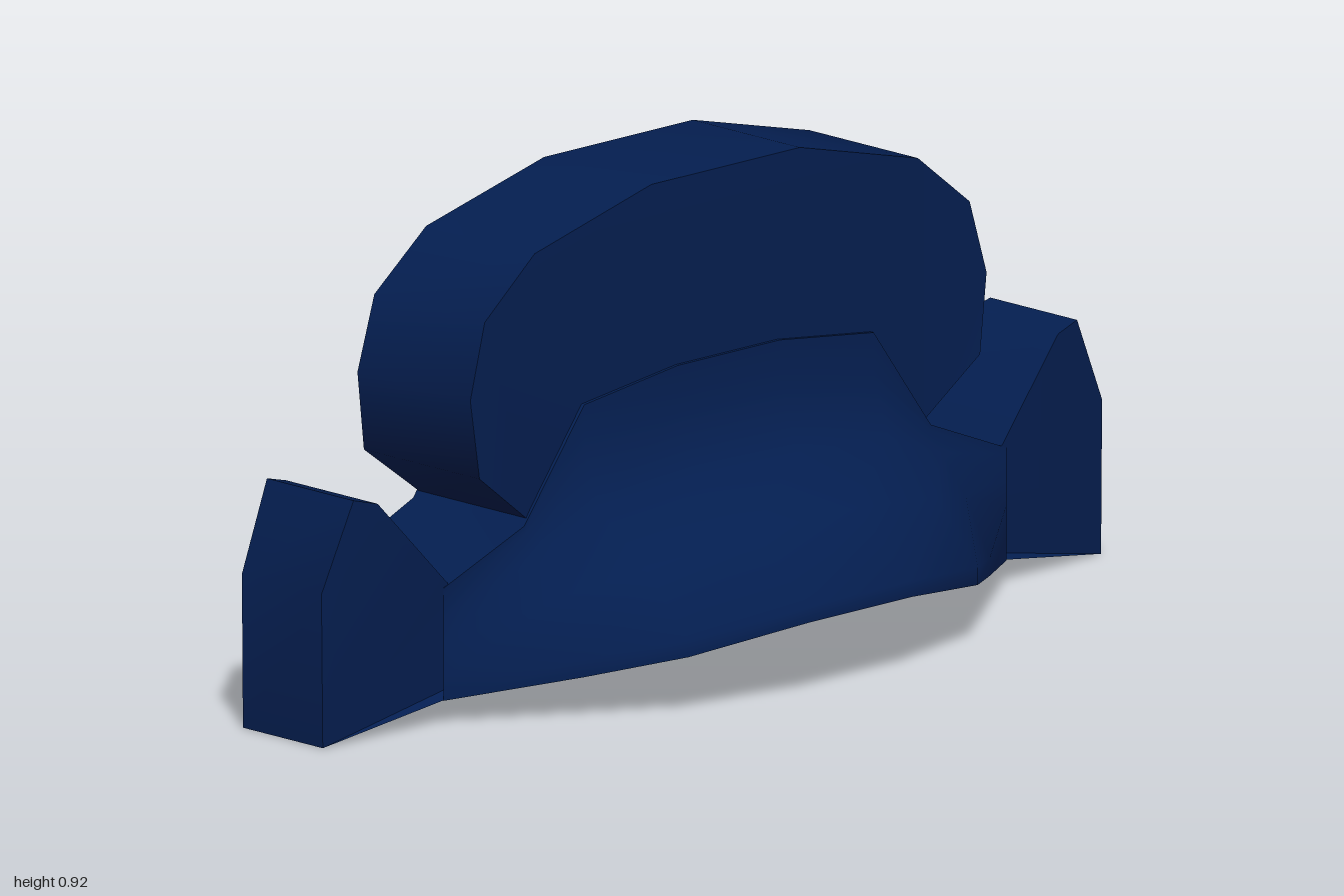
import * as THREE from 'three';
import { toCreasedNormals } from 'three/addons/utils/BufferGeometryUtils.js';

const mat = (name, color) => {
  const m = new THREE.MeshStandardMaterial({ color });
  m.name = name;
  return m;
};

// Joins closed loops of [x, y, z] points into a skin
function loft(loops, crease) {
  const n = loops[0].length, index = [];
  for (let i = 0; i < loops.length - 1; i++) {
    for (let j = 0; j < n; j++) {
      const k = (j + 1) % n, a = i * n + j, b = a + n, c = b - j + k, d = i * n + k;
      index.push(a, b, c, a, c, d);
    }
  }
  const g = new THREE.BufferGeometry();
  g.setAttribute('position', new THREE.Float32BufferAttribute(loops.flat(2), 3));
  g.setIndex(index);
  return toCreasedNormals(g, crease);
}

// Half outline of the upright slab, mirrored to a full one
function slabGeometry() {
  const half = [[0.13, 0.16], [0.37, 0.125], [0.72, 0.046], [0.995, 0], [0.998, 0.29], [0.925, 0.455], [0.87, 0.44],
    [0.705, 0.26], [0.49, 0.335], [0.64, 0.45], [0.66, 0.6], [0.62, 0.74], [0.49, 0.845], [0.19, 0.92]];
  const all = [...half, ...half.map(([x, y]) => [-x, y]).reverse()];
  const shape = new THREE.Shape(all.map(([x, y]) => new THREE.Vector2(x, y)));
  const g = new THREE.ExtrudeGeometry(shape, { depth: 2, bevelEnabled: false });
  const p = g.attributes.position;
  for (let i = 0; i < p.count; i++) {
    const x = Math.abs(p.getX(i)), y = p.getY(i);
    // Thins towards the tips and the top of the crown
    let w = 0.138;
    if (x > 0.72) w = THREE.MathUtils.mapLinear(x, 0.72, 1, 0.138, 0.103);
    else if (y > 0.4) w = THREE.MathUtils.mapLinear(y, 0.45, 0.92, 0.15, 0.139);
    p.setZ(i, (p.getZ(i) - 1) * w);
  }
  return toCreasedNormals(g, 0.8);
}

// Brim cross-sections: x, then [z, y] from the lower edge up onto the crown
function brimGeometry() {
  const half = [
    [0.13, [[0.49, 0.15], [0.49, 0.18], [0.345, 0.29], [0.19, 0.365], [0.15, 0.49], [0.1475, 0.57]]],
    [0.37, [[0.418, 0.115], [0.418, 0.148], [0.31, 0.26], [0.185, 0.35], [0.15, 0.46], [0.148, 0.54]]],
    [0.52, [[0.297, 0.082], [0.297, 0.115], [0.235, 0.22], [0.17, 0.29], [0.146, 0.325], [0.144, 0.338]]],
    [0.72, [[0.138, 0.045], [0.138, 0.09], [0.138, 0.15], [0.138, 0.2], [0.138, 0.245], [0.138, 0.257]]],
  ];
  const stations = [...half.map(([x, s]) => [-x, s]).reverse(), ...half];
  return loft(stations.map(([x, s]) => [
    ...s.map(([z, y]) => [x, y, z]),
    ...s.map(([z, y]) => [x, y, -z]).reverse(),
  ]), 1.25);
}

export function createModel() {
  const navy = mat('navy', 0x041e50);
  const black = mat('black', 0x050505);
  const white = mat('eggWhite', 0xbdb9b8);
  const orange = mat('yolkOrange', 0xa54708);

  const model = new THREE.Group();
  model.name = 'hat';
  const add = (name, geometry, material, parent = model) => {
    const mesh = new THREE.Mesh(geometry, material);
    mesh.name = name;
    parent.add(mesh);
    return mesh;
  };

  add('crownAndTips', slabGeometry(), navy);
  add('brim', brimGeometry(), navy);

  // Fried egg badge, built facing +z and turned to the back
  const egg = new THREE.Group();
  egg.name = 'friedEggBadge';
  egg.position.set(0.02, 0.65, 0);
  egg.rotation.y = Math.PI;
  model.add(egg);

  const wavy = new THREE.CatmullRomCurve3([
    [0.09, 0.19], [0.135, 0.145], [0.125, 0.05], [0.18, -0.08], [0.15, -0.135], [0.07, -0.145], [-0.05, -0.19],
    [-0.11, -0.16], [-0.13, -0.05], [-0.185, 0.07], [-0.16, 0.12], [-0.05, 0.135], [0.03, 0.18],
  ].map(([x, y]) => new THREE.Vector3(x, y, 0)), true).getPoints(48).slice(0, -1).reverse();
  // Rings of [scale, z] from the outer edge to the middle
  const layered = (rings) => loft(rings.map(([s, z]) => wavy.map((p) => [p.x * s, p.y * s, z])).reverse(), 0.6);

  add('eggOutline', layered([[1, 0.135], [1, 0.153], [0.97, 0.156], [0.001, 0.156]]), black, egg);
  add('eggWhite', layered([[0.91, 0.15], [0.91, 0.16], [0.78, 0.17], [0.5, 0.179], [0.001, 0.182]]), white, egg);

  const yolk = add('yolk', new THREE.SphereGeometry(1, 10, 8), orange, egg);
  yolk.scale.set(0.07, 0.075, 0.026);
  yolk.position.set(0.012, -0.005, 0.173);

  return model;
}
